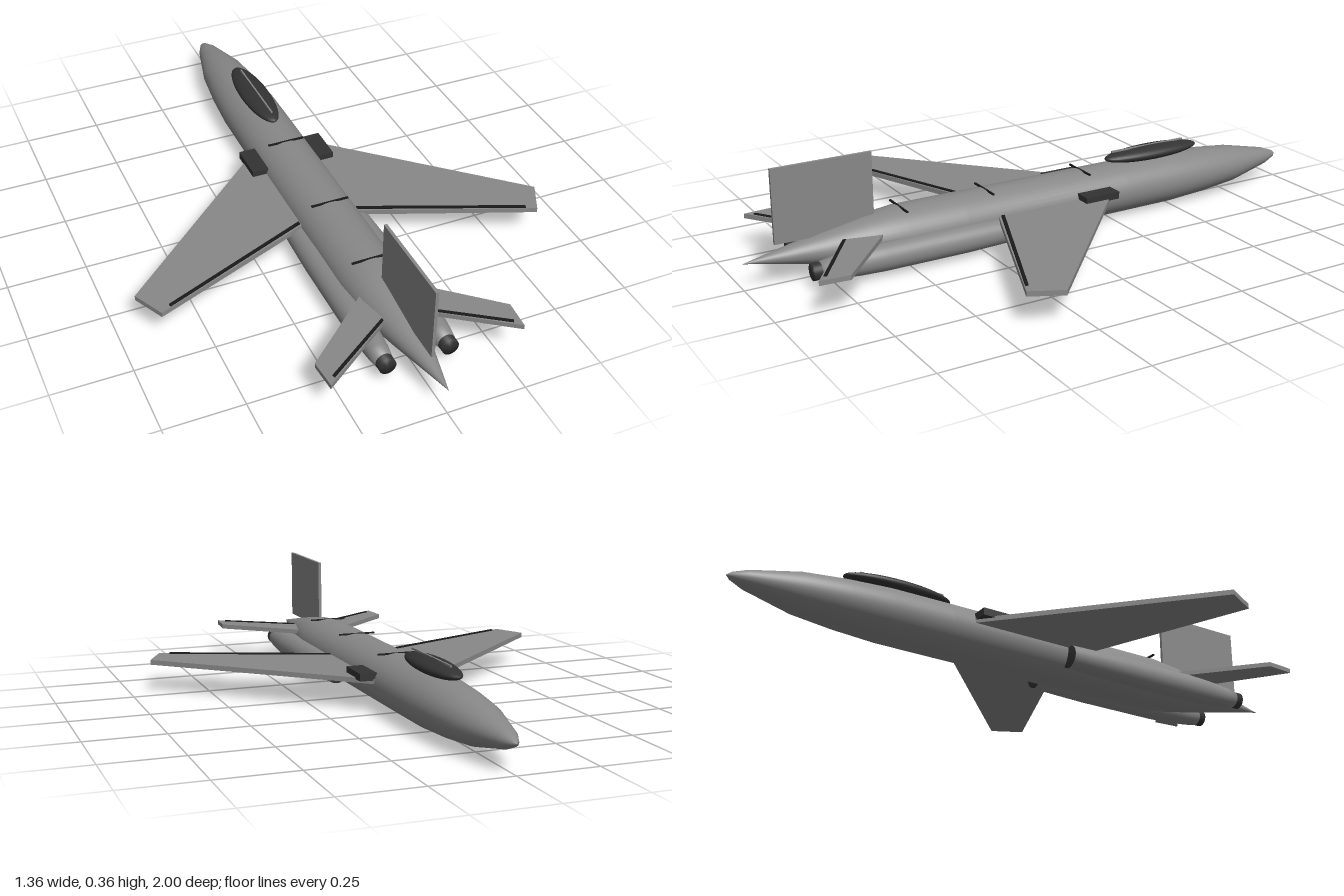
import * as THREE from 'three';

export function createModel() {
  const model = new THREE.Group();
  model.name = 'jetAircraft';

  const material = (name, color) => {
    const m = new THREE.MeshStandardMaterial({ color });
    m.name = name;
    return m;
  };
  const hull = material('hullGrey', 0x888888);
  const dark = material('darkGrey', 0x333333);
  const line = material('panelLine', 0x1a1a1a);

  const add = (name, geometry, mat, x = 0, y = 0, z = 0) => {
    const mesh = new THREE.Mesh(geometry, mat);
    mesh.name = name;
    mesh.position.set(x, y, z);
    model.add(mesh);
    return mesh;
  };
  const box = (name, mat, w, h, d, x, y, z) =>
    add(name, new THREE.BoxGeometry(w, h, d), mat, x, y, z);

  // Body of revolution along z from [radius, z] pairs
  const spindle = (profile, segments = 32) =>
    new THREE.LatheGeometry(profile.map(([r, z]) => new THREE.Vector2(r, z)), segments)
      .rotateX(Math.PI / 2);

  // Flat panel from an [x, z] outline, mirrored by side, between two heights
  const panel = (name, mat, outline, side, bottom, top) => {
    const shape = new THREE.Shape(outline.map(([x, z]) => new THREE.Vector2(x * side, z)));
    const g = new THREE.ExtrudeGeometry(shape, { depth: top - bottom, bevelEnabled: false });
    return add(name, g.rotateX(Math.PI / 2), mat, 0, top, 0);
  };

  // Fuselage, slightly flattened, nose at -z
  const body = spindle([
    [0, -1], [0.014, -0.985], [0.034, -0.94], [0.074, -0.78], [0.09, -0.64], [0.099, -0.5],
    [0.1, -0.3], [0.1, 0.3], [0.1, 0.5], [0.087, 0.61], [0.058, 0.75], [0.03, 0.87], [0, 1],
  ], 40);
  add('fuselage', body.scale(1, 0.85, 1), hull, 0, 0.09, 0);

  // Canopy with a thin centre frame
  const canopy = new THREE.SphereGeometry(1, 32, 20).scale(0.05, 0.024, 0.185);
  add('canopy', canopy, dark, 0, 0.19, -0.45);
  box('canopyFrame', hull, 0.005, 0.006, 0.29, 0, 0.213, -0.435);

  // Panel joints across the spine
  for (const z of [-0.165, 0.195, 0.495]) {
    box('panelJoint', line, 0.125, 0.005, 0.006, 0, 0.173, z);
  }

  // Tail fin
  box('tailFin', hull, 0.01, 0.235, 0.32, 0, 0.248, 0.74);

  for (const side of [1, -1]) {
    const prefix = side > 0 ? 'left' : 'right';

    // Swept wing and its hinge line
    panel(prefix + 'Wing', hull,
      [[0.08, -0.245], [0.68, 0.31], [0.63, 0.412], [0.08, 0.19]], side, 0.095, 0.111);
    panel(prefix + 'WingHinge', line,
      [[0.1, 0.178], [0.6, 0.387], [0.597, 0.396], [0.1, 0.19]], side, 0.109, 0.115);

    // Tailplane and its hinge line
    panel(prefix + 'Tailplane', hull,
      [[0.05, 0.56], [0.31, 0.79], [0.303, 0.885], [0.03, 0.69]], side, 0.11, 0.125);
    panel(prefix + 'TailplaneHinge', line,
      [[0.06, 0.698], [0.285, 0.853], [0.281, 0.862], [0.06, 0.709]], side, 0.123, 0.128);

    // Intake housing at the wing root
    box(prefix + 'Intake', dark, 0.055, 0.024, 0.125, side * 0.117, 0.118, -0.163);

    // Engine nacelle with dark inlet face and exhaust
    add(prefix + 'Nacelle', spindle([
      [0.038, 0.12], [0.041, 0.2], [0.044, 0.32], [0.044, 0.6],
      [0.041, 0.68], [0.034, 0.76], [0.028, 0.8], [0, 0.8],
    ]), hull, side * 0.1, 0.063, 0);
    add(prefix + 'Inlet', spindle([[0, 0.118], [0.037, 0.118], [0.037, 0.124]]),
      dark, side * 0.1, 0.063, 0);
    add(prefix + 'Exhaust', spindle([[0.027, 0.77], [0.027, 0.825], [0, 0.825]]),
      dark, side * 0.1, 0.063, 0);
  }

  return model;
}
